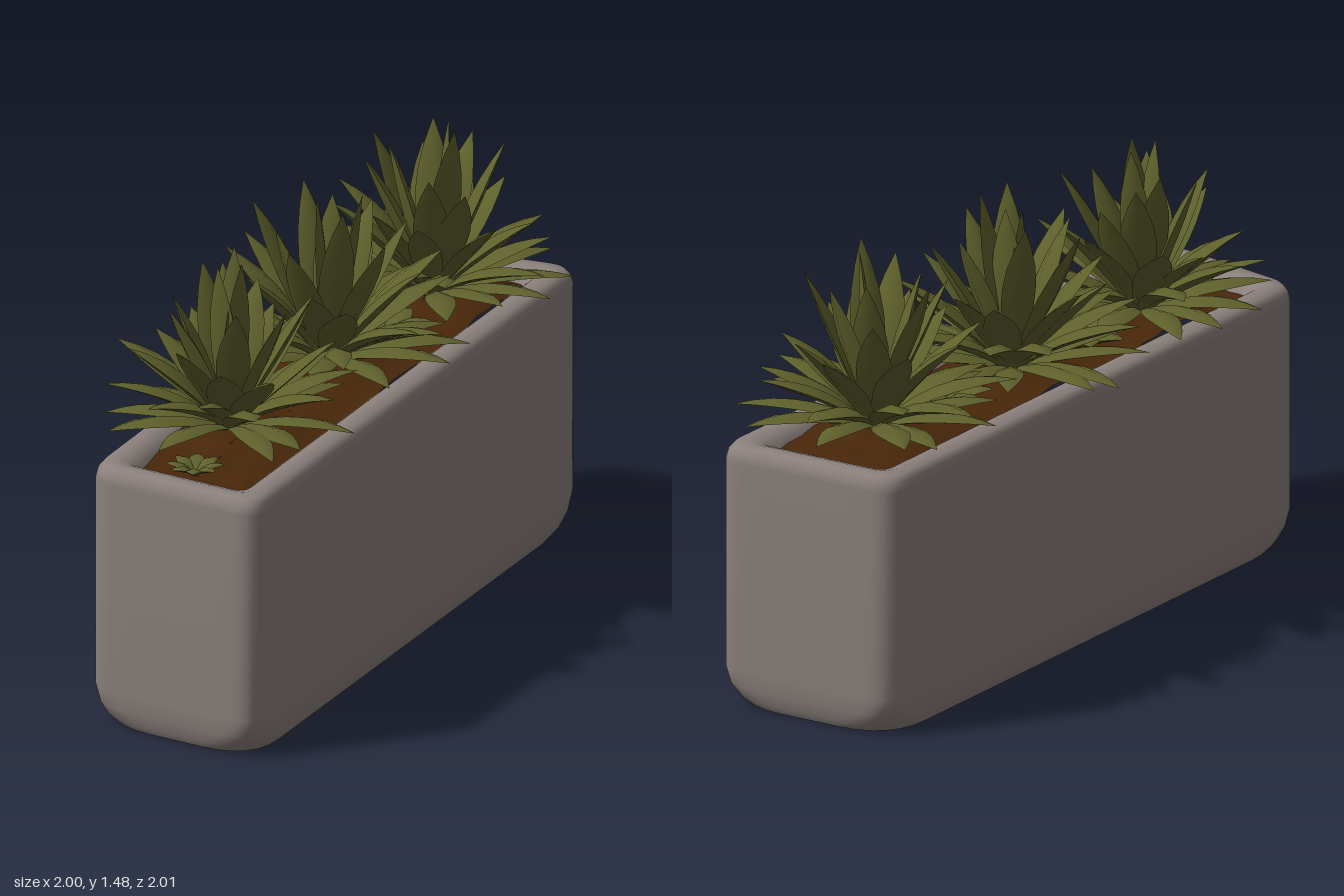
import * as THREE from 'three';
import { mergeGeometries, toCreasedNormals } from 'three/addons/utils/BufferGeometryUtils.js';

const V2 = (x, y) => new THREE.Vector2(x, y);

// Skin a list of closed rings (arrays of Vector3 with equal counts)
function loft(rings) {
  const n = rings[0].length, pos = [], index = [];
  rings.forEach(r => r.forEach(p => pos.push(p.x, p.y, p.z)));
  for (let k = 0; k < rings.length - 1; k++) {
    for (let i = 0; i < n; i++) {
      const a = k * n + i, b = k * n + (i + 1) % n;
      index.push(a, b, b + n, a, b + n, a + n);
    }
  }
  const g = new THREE.BufferGeometry();
  g.setAttribute('position', new THREE.Float32BufferAttribute(pos, 3));
  g.setIndex(index);
  g.computeVertexNormals();
  return g;
}

// Diagonal footprint of the planter as (x, z) corners
const corners = [V2(-1.028, 0.53), V2(-0.64, 1.038), V2(1.038, -0.6), V2(0.54, -1.032)];

// Footprint moved inwards by inset, with rounded corners of reach r
function footprint(inset, r) {
  const edgeNormal = i => {
    const d = corners[(i + 1) % 4].clone().sub(corners[i % 4]).normalize();
    return V2(d.y, -d.x);
  };
  const c = corners.map((p, i) => {
    const n1 = edgeNormal(i + 3), n2 = edgeNormal(i);
    return n1.clone().add(n2).multiplyScalar(inset / (1 + n1.dot(n2))).add(p);
  });
  const pts = [];
  c.forEach((p, i) => {
    const toward = q => p.clone().add(q.clone().sub(p).normalize().multiplyScalar(r));
    const next = c[(i + 1) % 4];
    const start = toward(c[(i + 3) % 4]), end = toward(next);
    pts.push(...new THREE.QuadraticBezierCurve(start, p, end).getPoints(6));
    const nextStart = next.clone().add(p.clone().sub(next).normalize().multiplyScalar(r));
    const steps = i % 2 ? 28 : 6;
    for (let k = 1; k < steps; k++) pts.push(end.clone().lerp(nextStart, k / steps));
  });
  return pts;
}

const ring = (inset, r, y) => footprint(inset, r).map(p => new THREE.Vector3(p.x, y, p.y));

// x, z, scale of each rosette
const plants = [[-0.49, 0.37, 0.97], [0, -0.08, 1.05], [0.51, -0.52, 1.01]];

// Lance-shaped leaf with a ridge along both faces, arching outwards
function leaf({ x, z, y, angle, elevation, bend, length, width, start }) {
  const R = new THREE.Vector3(Math.cos(angle), 0, Math.sin(angle));
  const S = new THREE.Vector3(0, 1, 0).cross(R);
  const profile = [0.5, 0.62, 0.82, 0.98, 1, 0.84, 0.5, 0.02];
  const p = new THREE.Vector3(x, y, z).addScaledVector(R, start);
  const rings = profile.map((f, k) => {
    const e = elevation - bend * k / (profile.length - 1);
    const T = R.clone().multiplyScalar(Math.cos(e));
    T.y = Math.sin(e);
    const N = T.clone().cross(S), w = f * width;
    const at = (s, n) => p.clone().addScaledVector(S, s * w).addScaledVector(N, n * w);
    const section = [at(1, 0), at(0, 0.36), at(-1, 0), at(0, -0.36)];
    p.addScaledVector(T, length / (profile.length - 1));
    return section;
  });
  return toCreasedNormals(loft(rings), 0.75);
}

function seeded(seed) {
  return () => (seed = (seed * 16807) % 2147483647) / 2147483647;
}

export function createModel() {
  const group = new THREE.Group();
  const stone = new THREE.MeshStandardMaterial({ color: 0x8b817d });
  const earth = new THREE.MeshStandardMaterial({ color: 0x48270a });
  const green = new THREE.MeshStandardMaterial({ color: 0x5f612c });
  stone.name = 'stone';
  earth.name = 'earth';
  green.name = 'leafGreen';
  const add = (name, geometry, material) => {
    const m = new THREE.Mesh(geometry, material);
    m.name = name;
    group.add(m);
  };

  // Planter: underside, chamfered foot, wall, rounded rim and sloping inner wall
  const wall = [
    [0.03, 0.19, 0], [0.015, 0.16, 0.025], [0.004, 0.12, 0.07], [0, 0.09, 0.13], [0, 0.09, 0.45],
    [0, 0.09, 0.83], [0.006, 0.09, 0.86], [0.022, 0.08, 0.88], [0.06, 0.06, 0.884],
    [0.09, 0.05, 0.875], [0.12, 0.04, 0.85], [0.14, 0.04, 0.8],
  ].map(a => ring(...a));
  const under = ring(0.03, 0.19, 0);
  const centre = under.map(() => new THREE.Vector3());
  add('planter', mergeGeometries([loft([centre, under]), loft(wall)]), stone);

  // Soil heaped around each plant, closed along the middle line
  const soilRings = [0.12, 0.15, 0.18, 0.21, 0.24, 0.27].map(d => ring(d, 0.02, 0));
  const ridgeA = new THREE.Vector3(-0.6, 0, 0.56), ridgeB = new THREE.Vector3(0.6, 0, -0.6);
  soilRings.push(soilRings[5].map(p =>
    new THREE.Line3(ridgeA, ridgeB).closestPointToPoint(p, true, new THREE.Vector3())));
  soilRings.flat().forEach(p => {
    p.y = 0.835 + 0.008 * Math.sin(p.x * 31) * Math.cos(p.z * 27);
    plants.forEach(([x, z]) => {
      p.y += 0.06 * Math.exp(-((p.x - x) ** 2 + (p.z - z) ** 2) / 0.045);
    });
  });
  add('soil', loft(soilRings), earth);

  // Rosettes: [count, elevation, bend, length, half width, start radius]
  const tiers = [
    [11, 0.36, 0.5, 0.41, 0.05, 0.02],
    [10, 0.68, 0.62, 0.43, 0.053, 0.02],
    [9, 0.95, 0.4, 0.43, 0.056, 0.02],
    [7, 1.2, 0.14, 0.5, 0.06, 0.015],
    [4, 1.4, 0.04, 0.54, 0.055, 0.01],
  ];
  plants.forEach(([x, z, s], k) => {
    const rand = seeded(91 + k * 577);
    const vary = amount => 1 + (rand() - 0.5) * amount;
    const leaves = [];
    tiers.forEach(([count, elevation, bend, length, width, start], t) => {
      for (let i = 0; i < count; i++) {
        leaves.push(leaf({
          x, z, y: 0.885 + t * 0.004, start,
          angle: (i + t * 0.4 + (rand() - 0.5) * 0.7) / count * Math.PI * 2 + k,
          elevation: elevation * vary(0.2), bend: bend * vary(0.5),
          length: length * s * vary(0.16), width: width * vary(0.2),
        }));
      }
    });
    add('rosette' + (k + 1), mergeGeometries(leaves), green);
  });

  // Small offshoots growing from the soil between the rosettes: [x, z, leaf length]
  const shoots = [];
  [[-0.27, 0.17, 0.17], [0.25, -0.28, 0.17], [-0.7, 0.63, 0.1]].forEach(([x, z, length], k) => {
    for (let i = 0; i < 8; i++) {
      shoots.push(leaf({
        x, z, y: 0.845, start: 0.005, angle: i / 8 * Math.PI * 2 + k,
        elevation: 0.75, bend: 0.9, length, width: length * 0.26,
      }));
    }
  });
  add('offshoots', mergeGeometries(shoots), green);
  return group;
}
